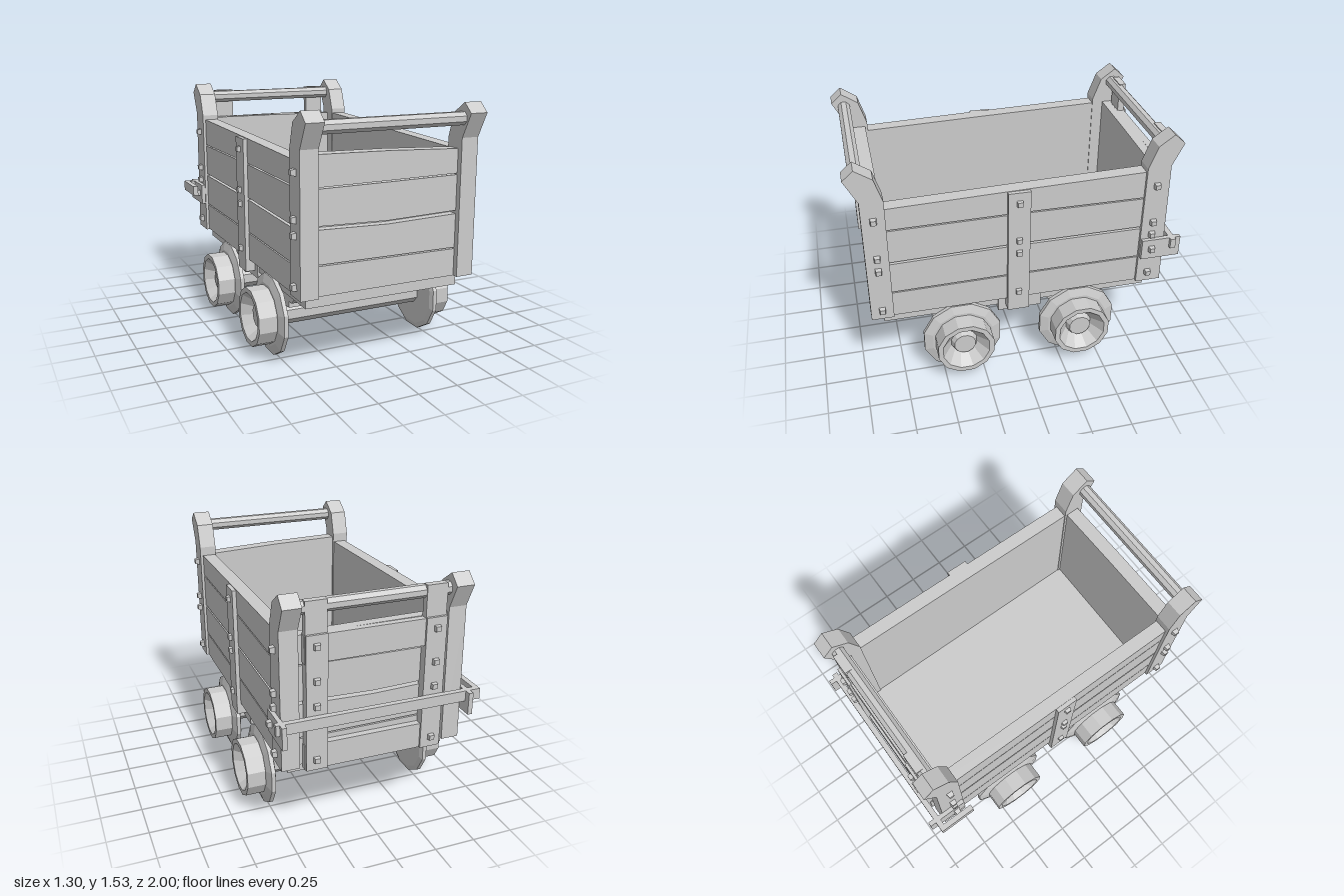
import * as THREE from 'three';

export function createModel() {
  const root = new THREE.Group();
  root.name = 'mineCart';
  const mat = new THREE.MeshStandardMaterial({ color: 0xcccccc, flatShading: true });

  const add = (name, geo, parent = root) => {
    const m = new THREE.Mesh(geo, mat);
    m.name = name;
    parent.add(m);
    return m;
  };
  // Box given by its min and max on each axis
  const box = (name, x0, x1, y0, y1, z0, z1) =>
    add(name, new THREE.BoxGeometry(x1 - x0, y1 - y0, z1 - z0)
      .translate((x0 + x1) / 2, (y0 + y1) / 2, (z0 + z1) / 2));
  const extrude = (pts, depth) => new THREE.ExtrudeGeometry(
    new THREE.Shape(pts.map(p => new THREE.Vector2(p[0], p[1]))), { depth, bevelEnabled: false });

  // Small square bolt head with a tapered cap, pointing along +z before turning
  const bolt = (x, y, z, turnY) => {
    const g = new THREE.CylinderGeometry(0.021, 0.028, 0.03, 4).rotateY(Math.PI / 4).rotateX(Math.PI / 2);
    const m = add('bolt', g);
    m.position.set(x, y, z);
    m.rotation.y = turnY;
  };

  // Stack of planks from a to b; each joint is [height at a, middle, b, half gap]
  const planks = (a, b, joints, depth) => {
    const out = [], mid = (a + b) / 2;
    for (let i = 0; i + 1 < joints.length; i++) {
      const [l0, m0, r0, g0] = joints[i], [l1, m1, r1, g1] = joints[i + 1];
      out.push(extrude([[a, l0 + g0], [mid, m0 + g0], [b, r0 + g0],
        [b, r1 - g1], [mid, m1 - g1], [a, l1 - g1]], depth));
    }
    return out;
  };

  // Chassis: floor, cross block and axle carriers
  box('floor', -0.49, 0.49, 0.43, 0.51, -0.82, 0.85);
  box('centreCrossBlock', -0.5, 0.5, 0.39, 0.5, -0.135, 0.14);
  for (const z of [0.375, -0.372]) {
    const carrier = extrude([[-0.19, 0.43], [-0.19, 0.39], [-0.14, 0.34], [-0.1, 0.34], [-0.1, 0.3],
      [0.1, 0.3], [0.1, 0.34], [0.14, 0.34], [0.19, 0.39], [0.19, 0.43]], 0.86);
    add('axleCarrier', carrier.rotateY(-Math.PI / 2).translate(0.43, 0, z));
  }

  // Axles and flanged wheels with a dished outer face
  const wheelProfile = [[0, 0.485], [0.22, 0.485], [0.251, 0.495], [0.251, 0.52], [0.197, 0.537],
    [0.181, 0.537], [0.181, 0.65], [0.15, 0.65], [0.083, 0.565], [0.068, 0.6], [0, 0.6]]
    .map(p => new THREE.Vector2(p[0], p[1]));
  for (const z of [0.375, -0.372]) {
    const axle = add('axle', new THREE.CylinderGeometry(0.076, 0.076, 1, 8).rotateY(Math.PI / 8).rotateZ(Math.PI / 2));
    axle.position.set(0, 0.243, z);
    for (const s of [1, -1]) {
      const wheel = add('wheel', new THREE.LatheGeometry(wheelProfile, 12, Math.PI / 12));
      wheel.rotation.z = -s * Math.PI / 2;
      wheel.position.set(0, 0.243, z);
    }
  }

  // Side walls: smooth inner lining with planks outside
  const sideJoints = [[0.505, 0.505, 0.505, 0], [0.685, 0.683, 0.675, 0.004],
    [0.9, 0.9, 0.885, 0.007], [1.11, 1.117, 1.112, 0.004], [1.292, 1.275, 1.255, 0]];
  for (const s of [1, -1]) {
    for (const g of planks(-0.84, 0.84, sideJoints, 0.055))
      add('sidePlank', g.rotateY(-Math.PI / 2).translate(s > 0 ? 0.535 : -0.48, 0, 0));
    const lining = extrude([[-0.84, 0.5], [0.84, 0.5], [0.84, 1.255], [0, 1.275], [-0.84, 1.292]], 0.032);
    add('sideLining', lining.rotateY(-Math.PI / 2).translate(s > 0 ? 0.482 : -0.45, 0, 0));
  }

  // Front and back walls
  const endJoints = [[0.505, 0.505, 0.505, 0], [0.682, 0.677, 0.673, 0.004],
    [0.892, 0.878, 0.89, 0.01], [1.108, 1.11, 1.114, 0.004], [1.29, 1.28, 1.26, 0]];
  for (const g of planks(-0.46, 0.46, endJoints, 0.06)) add('frontPlank', g.translate(0, 0, 0.83));
  add('frontLining', extrude([[-0.46, 0.5], [0.46, 0.5], [0.46, 1.26], [0, 1.28], [-0.46, 1.29]], 0.03)
    .translate(0, 0, 0.805));
  endJoints[4] = [1.295, 1.292, 1.285, 0];
  for (const g of planks(-0.46, 0.46, endJoints, 0.045)) add('backPlank', g.translate(0, 0, -0.875));
  add('backLining', extrude([[-0.46, 0.5], [0.46, 0.5], [0.46, 1.285], [0, 1.292], [-0.46, 1.295]], 0.02)
    .translate(0, 0, -0.835));

  // Back frame: uprights with raised ends, top and bottom rails
  box('backTopRail', -0.42, 0.42, 1.13, 1.29, -0.915, -0.87);
  box('backBottomRail', -0.42, 0.42, 0.485, 0.64, -0.915, -0.87);
  for (const s of [1, -1]) {
    const x0 = s > 0 ? 0.29 : -0.415;
    box('backUpright', x0, x0 + 0.125, 0.485, 1.295, -0.928, -0.865);
    box('backUprightEnd', x0, x0 + 0.125, 1.29, 1.48, -0.912, -0.87);
    for (const y of [1.23, 1.03, 0.88, 0.55]) bolt(s * 0.355, y, -0.935, Math.PI);
  }

  // Corner posts with outward hooked heads
  const frontPost = [[0.925, 0.505], [0.925, 1.325], [1, 1.47], [0.935, 1.527], [0.835, 1.46], [0.79, 1.315], [0.79, 0.505]];
  const backPost = [[-0.745, 0.5], [-0.745, 1.32], [-0.797, 1.46], [-0.89, 1.527], [-0.957, 1.465], [-0.89, 1.325], [-0.905, 0.5]];
  for (const s of [1, -1]) {
    const x = s > 0 ? 0.553 : -0.445;
    add('frontPost', extrude(frontPost, 0.108).rotateY(-Math.PI / 2).translate(x, 0, 0));
    add('backPost', extrude(backPost, 0.108).rotateY(-Math.PI / 2).translate(x, 0, 0));
    box('middlePost', s > 0 ? 0.49 : -0.56, s > 0 ? 0.56 : -0.49, 0.43, 1.27, -0.042, 0.092);
    for (const z of [0.857, 0.025, -0.813])
      for (const y of [1.2, 0.945, 0.857, 0.57]) bolt(s * 0.565, y, z, s * Math.PI / 2);
  }

  // Handle bars between the posts
  for (const z of [0.925, -0.87]) {
    const bar = add('handleBar', new THREE.CylinderGeometry(0.04, 0.04, 0.92, 8).rotateY(Math.PI / 8).rotateZ(Math.PI / 2));
    bar.position.set(0, 1.437, z);
  }

  // Latch: side plates, bar across the back and bent hook arm
  for (const s of [1, -1]) {
    box('latchPlate', s > 0 ? 0.55 : -0.578, s > 0 ? 0.578 : -0.55, 0.69, 0.825, -1, -0.752);
    bolt(s * 0.59, 0.762, -0.813, s * Math.PI / 2);
  }
  box('latchBar', -0.645, 0.6, 0.76, 0.825, -0.962, -0.928);
  box('latchHookArm', -0.645, -0.612, 0.76, 0.825, -0.962, -0.73);

  return root;
}
